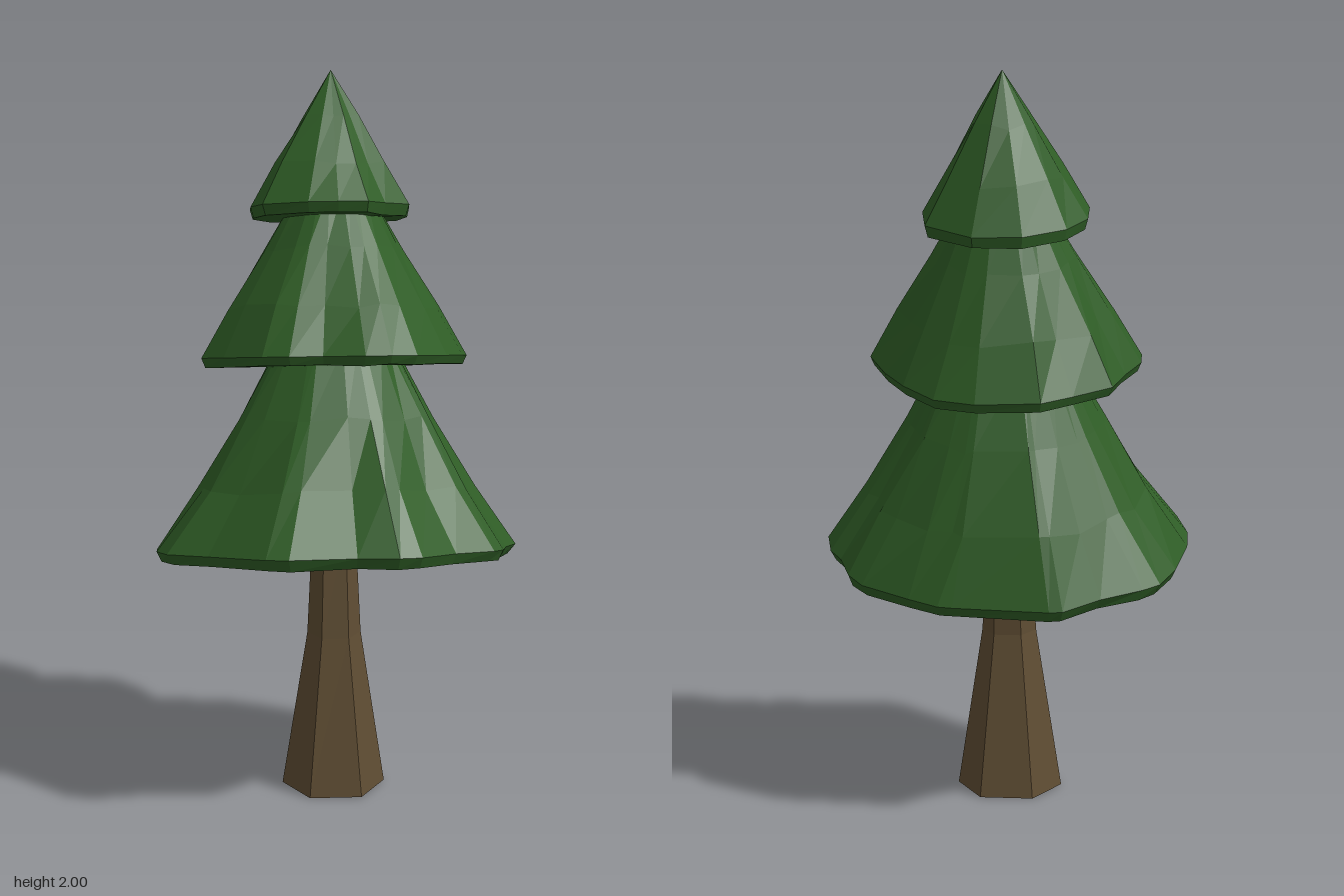
import * as THREE from 'three';

const leafMat = new THREE.MeshStandardMaterial({ color: 0x2f5d26, flatShading: true });
const barkMat = new THREE.MeshStandardMaterial({ color: 0x5f4d33, flatShading: true });

// small seeded noise in -1..1
let seed = 7;
const noise = () => {
  seed = (seed * 16807) % 2147483647;
  return (seed / 2147483647) * 2 - 1;
};

// Joins rings of points (listed bottom to top) with outward faces.
// A ring of one point closes the end as a fan.
function loft(rings, material, name) {
  const pos = [], index = [], start = [];
  for (const ring of rings) {
    start.push(pos.length / 3);
    for (const p of ring) pos.push(...p);
  }
  const n = Math.max(...rings.map(r => r.length));
  for (let i = 0; i < rings.length - 1; i++) {
    const at = (k, j) => start[k] + (j % rings[k].length);
    for (let j = 0; j < n; j++) {
      const a = at(i, j), b = at(i, j + 1), c = at(i + 1, j), d = at(i + 1, j + 1);
      if (a !== b) index.push(a, c, b);
      if (c !== d) index.push(b, c, d);
    }
  }
  let geo = new THREE.BufferGeometry();
  geo.setAttribute('position', new THREE.Float32BufferAttribute(pos, 3));
  geo.setIndex(index);
  geo = geo.toNonIndexed();
  geo.computeVertexNormals();
  const mesh = new THREE.Mesh(geo, material);
  mesh.name = name;
  return mesh;
}

const TILT = 0.21; // the foliage leans back, so every rim slopes down to the rear

// One skirt of foliage: ragged rim (x, z pairs) narrowing to an oval or a tip.
function foliageTier({ name, rim, base, lip, top, pinch }) {
  const [bx, by, bz] = base, [tx, ty, tz, rx, rz] = top;
  const pts = [];
  for (let i = 0; i < rim.length; i += 2) pts.push([rim[i] - bx, rim[i + 1] - bz]);

  const ring = (t, rise, scale, rough) => {
    const cx = bx + (tx - bx) * t, cz = bz + (tz - bz) * t;
    const cy = by + rise + (ty - by - rise) * t;
    const squeeze = 1 - pinch * Math.sin(Math.PI * t);
    return pts.map(([x, z]) => {
      const l = Math.hypot(x, z), r = 1 + noise() * rough;
      const dx = (x + ((x / l) * rx - x) * t) * scale * squeeze * r;
      const dz = (z + ((z / l) * rz - z) * t) * scale * r;
      return [cx + dx, cy + TILT * dz + noise() * rough * 0.3, cz + dz];
    });
  };
  const rings = [
    [[bx, by, bz]],
    ring(0, 0, 0.965, 0.01),
    ring(0, lip, 1, 0),
    ring(0.3, lip, 1, 0.035),
    ring(0.65, lip, 1, 0.025),
  ];
  if (rx > 0) rings.push(ring(1, lip, 1, 0.01));
  rings.push([[tx, ty, tz]]);
  return loft(rings, leafMat, name);
}

const tiers = [
  {
    name: 'lowerFoliage', base: [0, 0.672, 0], lip: 0.03, pinch: 0.06,
    top: [0, 1.25, -0.08, 0.165, 0.15],
    rim: [0.5, 0, 0.46, 0.1, 0.44, 0.2, 0.41, 0.24, 0.3, 0.3, 0.2, 0.41, 0.14, 0.425,
      0.03, 0.405, -0.15, 0.43, -0.21, 0.41, -0.36, 0.27, -0.47, 0.175, -0.5, 0.07,
      -0.5, -0.02, -0.47, -0.165, -0.43, -0.255, -0.385, -0.29, -0.275, -0.35,
      -0.18, -0.425, -0.145, -0.43, 0.11, -0.415, 0.15, -0.41, 0.23, -0.37,
      0.365, -0.295, 0.41, -0.235, 0.445, -0.14, 0.48, -0.09],
  },
  {
    name: 'middleFoliage', base: [0, 1.2, -0.08], lip: 0.025, pinch: 0,
    top: [0, 1.67, -0.155, 0.1, 0.1],
    rim: [0.365, -0.08, 0.345, -0.01, 0.29, 0.1, 0.2, 0.22, 0.13, 0.255, 0.06, 0.26,
      -0.05, 0.225, -0.14, 0.235, -0.21, 0.2, -0.31, 0.06, -0.37, -0.04, -0.37, -0.1,
      -0.33, -0.19, -0.3, -0.28, -0.2, -0.35, -0.12, -0.4, 0.05, -0.415, 0.16, -0.385,
      0.25, -0.29, 0.31, -0.2],
  },
  {
    name: 'upperFoliage', base: [0, 1.6, -0.155], lip: 0.03, pinch: 0,
    top: [-0.005, 2, -0.215, 0, 0],
    rim: [0.21, -0.17, 0.2, -0.06, 0.13, 0, 0.08, 0.065, 0, 0.07, -0.08, 0.06,
      -0.2, -0.02, -0.23, -0.12, -0.23, -0.22, -0.18, -0.31, -0.07, -0.38,
      0.06, -0.385, 0.19, -0.29],
  },
];

// Six-sided trunk, flared at the foot: [y, centre x, centre z, radius]
function trunk() {
  const rings = [[0, -0.01, -0.015, 0.145], [0.45, -0.008, -0.012, 0.075], [0.76, -0.007, -0.03, 0.06]]
    .map(([y, cx, cz, r]) => Array.from({ length: 6 }, (_, i) => {
      const a = (i / 6) * Math.PI * 2;
      return [cx + Math.cos(a) * r, y, cz + Math.sin(a) * r];
    }));
  return loft([[[-0.01, 0, -0.015]], ...rings, [[-0.007, 0.76, -0.03]]], barkMat, 'trunk');
}

export function createModel() {
  const tree = new THREE.Group();
  tree.name = 'pineTree';
  tree.add(trunk());
  for (const tier of tiers) tree.add(foliageTier(tier));
  return tree;
}
